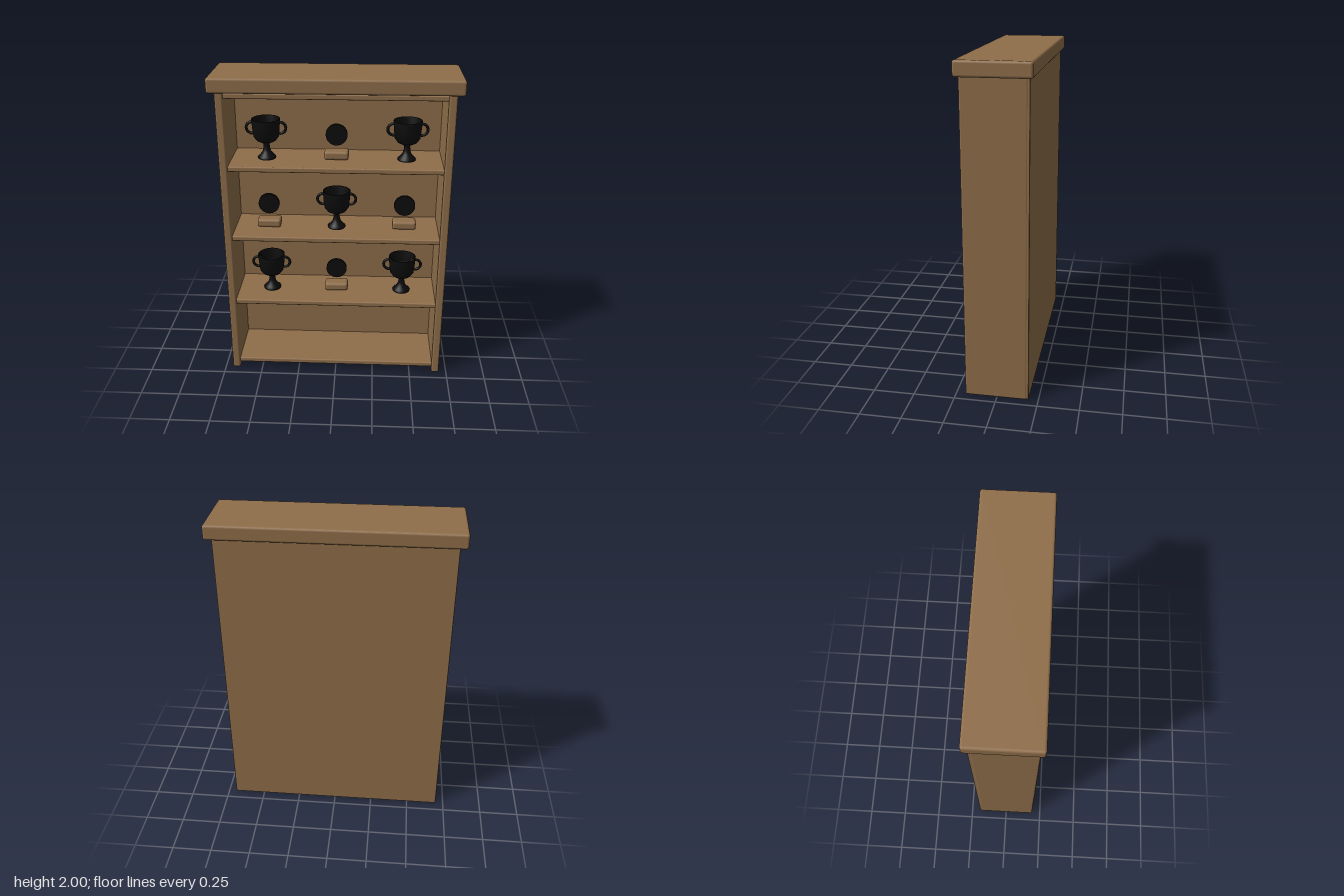
import * as THREE from 'three';
import { RoundedBoxGeometry } from 'three/addons/geometries/RoundedBoxGeometry.js';

const wood = new THREE.MeshStandardMaterial({ color: 0x8f6e4a });
wood.name = 'wood';
const darkMetal = new THREE.MeshStandardMaterial({ color: 0x0c0c0c, side: THREE.DoubleSide });
darkMetal.name = 'dark metal';

function add(parent, name, geometry, material, x = 0, y = 0, z = 0) {
  const mesh = new THREE.Mesh(geometry, material);
  mesh.name = name;
  mesh.position.set(x, y, z);
  parent.add(mesh);
  return mesh;
}

// Rounded board given by its limits on each axis
function board(parent, name, [x0, x1], [y0, y1], [z0, z1], radius) {
  const geometry = new RoundedBoxGeometry(x1 - x0, y1 - y0, z1 - z0, 3, radius);
  return add(parent, name, geometry, wood, (x0 + x1) / 2, (y0 + y1) / 2, (z0 + z1) / 2);
}

// Two-handled cup, standing on y = 0
function makeTrophy() {
  const trophy = new THREE.Group();
  trophy.name = 'trophy';
  const profile = [
    [0, 0], [0.056, 0], [0.056, 0.01], [0.045, 0.02], [0.028, 0.04], [0.021, 0.06],
    [0.018, 0.09], [0.03, 0.1], [0.06, 0.115], [0.078, 0.14], [0.083, 0.18],
    [0.088, 0.25], [0.08, 0.25], [0.075, 0.18], [0.068, 0.145], [0, 0.12],
  ].map(([r, y]) => new THREE.Vector2(r, y));
  add(trophy, 'cup', new THREE.LatheGeometry(profile, 32), darkMetal);
  for (const side of [-1, 1]) {
    add(trophy, 'handle', new THREE.TorusGeometry(0.036, 0.009, 10, 24), darkMetal, side * 0.086, 0.193, 0);
  }
  return trophy;
}

// Round medal above a small wooden block
function makeMedal() {
  const medal = new THREE.Group();
  medal.name = 'medalDisplay';
  board(medal, 'medalBlock', [-0.075, 0.075], [0.003, 0.057], [-0.045, 0.045], 0.016);
  const disc = add(medal, 'medalDisc', new THREE.CylinderGeometry(0.067, 0.067, 0.02, 28), darkMetal, 0, 0.155, 0);
  disc.rotation.x = Math.PI / 2;
  return medal;
}

export function createModel() {
  const cabinet = new THREE.Group();
  cabinet.name = 'trophyCabinet';

  // Carcass
  board(cabinet, 'crown', [-0.742, 0.742], [1.91, 2], [-0.214, 0.214], 0.015);
  board(cabinet, 'leftSide', [0.65, 0.7], [0, 1.92], [-0.182, 0.192], 0.012);
  board(cabinet, 'rightSide', [-0.7, -0.65], [0, 1.92], [-0.182, 0.192], 0.012);
  board(cabinet, 'backPanel', [-0.698, 0.698], [0.005, 1.92], [-0.192, -0.172], 0.004);

  // Bottom board, three shelves and top board
  const shelfTops = [0.07, 0.53, 0.99, 1.455, 1.905];
  shelfTops.forEach((top) => {
    board(cabinet, 'shelf', [-0.655, 0.655], [top - 0.033, top], [-0.18, 0.18], 0.008);
  });

  // Trophies (T) and medals (M) across each display shelf
  ['TMT', 'MTM', 'TMT'].forEach((row, i) => {
    [...row].forEach((kind, j) => {
      const item = kind === 'T' ? makeTrophy() : makeMedal();
      item.position.set((j - 1) * 0.433, shelfTops[i + 1], 0);
      cabinet.add(item);
    });
  });
  return cabinet;
}
